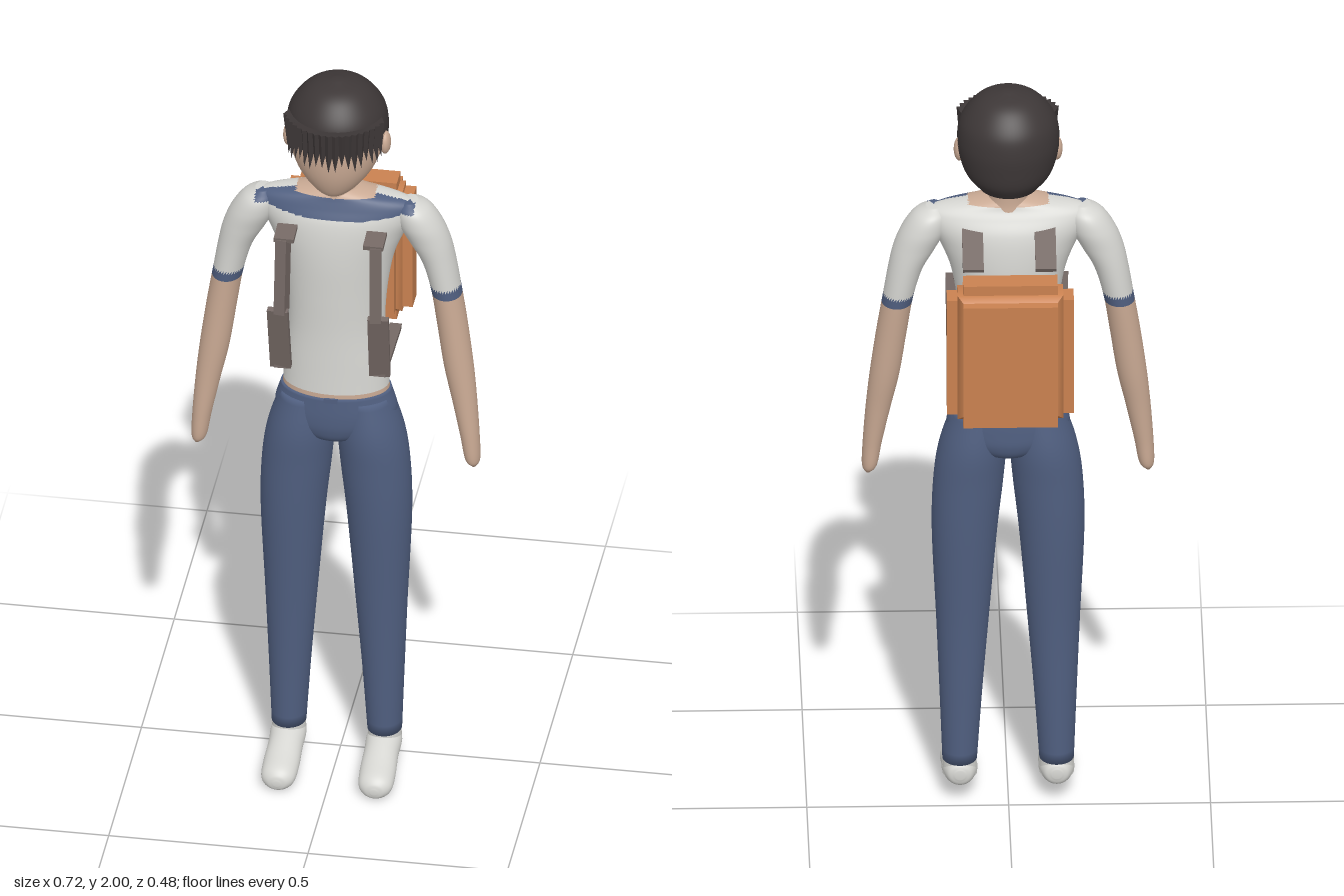
import * as THREE from 'three';

const mat = (name, color, side = THREE.FrontSide) =>
  Object.assign(new THREE.MeshStandardMaterial({ color, side }), { name });

// Smooth skin over horizontal ellipses [y, cx, cz, rx, rz], listed bottom to top.
// paint(x, y, z) picks a material index for each face, or -1 to leave it out.
function loft(sections, rings = 40, sides = 40, paint = () => 0) {
  const spline = f => new THREE.CatmullRomCurve3(sections.map(f), false, 'catmullrom', 0.5);
  const mid = spline(s => new THREE.Vector3(s[1], s[0], s[2]));
  const rad = spline(s => new THREE.Vector3(s[3], s[4], 0));
  const pos = [], faces = [];
  for (let i = 0; i <= rings; i++) {
    const c = mid.getPoint(i / rings), r = rad.getPoint(i / rings);
    for (let j = 0; j < sides; j++) {
      const a = (j / sides) * Math.PI * 2;
      pos.push(c.x + Math.max(r.x, 0.002) * Math.cos(a), c.y, c.z + Math.max(r.y, 0.002) * Math.sin(a));
    }
  }
  for (let j = 0; j < sides; j++) {
    const k = (j + 1) % sides;
    for (let i = 0; i < rings; i++) {
      const a = i * sides + j, b = i * sides + k;
      faces.push([a, a + sides, b], [b, a + sides, b + sides]);
    }
    const top = rings * sides, low = pos.length / 3;
    faces.push([low, j, k], [low + 1, top + k, top + j]);
  }
  for (const t of [0, 1]) pos.push(...mid.getPoint(t).toArray());

  const buckets = [[], [], []];
  for (const f of faces) {
    const m = [0, 1, 2].map(d => f.reduce((s, v) => s + pos[v * 3 + d], 0) / 3);
    const b = paint(...m);
    if (b >= 0) buckets[b].push(...f);
  }
  const g = new THREE.BufferGeometry();
  g.setAttribute('position', new THREE.Float32BufferAttribute(pos, 3));
  g.setIndex(buckets.flat());
  let start = 0;
  buckets.forEach((b, i) => { if (b.length) g.addGroup(start, b.length, i); start += b.length; });
  g.computeVertexNormals();
  return g;
}

export function createModel() {
  const model = new THREE.Group();
  model.name = 'student';
  const shirt = mat('shirt white', 0xd6d6d2);
  const blue = mat('denim blue', 0x505f80);
  const skin = mat('skin', 0xcaaa94);
  const hair = mat('dark hair', 0x3d3737, THREE.DoubleSide);
  const orange = mat('pack orange', 0xc98150);
  const strap = mat('strap brown', 0x756965);

  const add = (name, geometry, material, parent = model) => {
    const m = new THREE.Mesh(geometry, material);
    m.name = name;
    parent.add(m);
    return m;
  };

  // Shirt with a collar band at the front, bare neckline and bare waist line
  add('torso', loft([
    [1.11, 0, 0.065, 0.134, 0.083], [1.2, 0, 0.064, 0.128, 0.081], [1.3, 0, 0.06, 0.121, 0.083],
    [1.4, 0, 0.057, 0.126, 0.088], [1.5, 0, 0.055, 0.142, 0.092], [1.57, 0, 0.055, 0.168, 0.089],
    [1.62, 0, 0.056, 0.195, 0.08], [1.655, 0, 0.058, 0.205, 0.064], [1.675, 0, 0.06, 0.175, 0.054],
    [1.69, 0, 0.06, 0.1, 0.048], [1.7, 0, 0.06, 0.055, 0.04],
  ], 90, 64, (x, y, z) => {
    if (y < 1.13 || (y > 1.686 && Math.abs(x) < 0.1)) return 2;
    return z > 0.072 && Math.abs(x) < 0.2 && y > 1.632 + 0.5 * x * x ? 1 : 0;
  }), [shirt, blue, skin]);

  // Hips
  add('hips', loft([
    [0.97, 0, 0.065, 0.03, 0.04], [0.99, 0, 0.065, 0.09, 0.075], [1.02, 0, 0.065, 0.14, 0.088],
    [1.06, 0, 0.066, 0.153, 0.09], [1.118, 0, 0.066, 0.138, 0.087],
  ]), blue);
  add('fly button', new THREE.BoxGeometry(0.035, 0.012, 0.006), blue).position.set(0, 1.115, 0.152);

  for (const s of [1, -1]) {
    const side = s > 0 ? 'left' : 'right';
    const mirror = list => list.map(([y, x, ...rest]) => [y, x * s, ...rest]);

    // Arm with a trimmed short sleeve
    add(side + 'Arm', loft(mirror([
      [0.915, 0.347, 0.072, 0.007, 0.014], [0.935, 0.343, 0.072, 0.019, 0.027], [1.0, 0.336, 0.071, 0.024, 0.03],
      [1.1, 0.322, 0.066, 0.031, 0.034], [1.2, 0.306, 0.06, 0.037, 0.04], [1.32, 0.289, 0.055, 0.038, 0.044],
      [1.42, 0.273, 0.052, 0.038, 0.048], [1.5, 0.255, 0.052, 0.043, 0.051], [1.56, 0.232, 0.054, 0.053, 0.055],
      [1.61, 0.209, 0.056, 0.056, 0.058], [1.65, 0.193, 0.058, 0.044, 0.05], [1.672, 0.184, 0.06, 0.018, 0.024],
    ]), 100, 36, (x, y, z) => {
      if (y < 1.405) return 2;
      if (y < 1.43) return 1;
      return z > 0.072 && Math.abs(x) < 0.2 && y > 1.652 ? 1 : 0;
    }), [shirt, blue, skin]);

    // Trouser leg
    add(side + 'Leg', loft(mirror([
      [0.11, 0.12, 0.058, 0.043, 0.049], [0.3, 0.117, 0.06, 0.053, 0.055], [0.5, 0.113, 0.063, 0.065, 0.064],
      [0.75, 0.108, 0.065, 0.081, 0.081], [0.9, 0.098, 0.066, 0.087, 0.088], [1.0, 0.087, 0.066, 0.083, 0.091],
      [1.1, 0.074, 0.066, 0.064, 0.078],
    ])), blue);

    // Foot runs heel to toe, tipped downward
    add(side + 'Ankle', loft(mirror([[0.07, 0.12, 0.056, 0.043, 0.048], [0.13, 0.12, 0.058, 0.04, 0.046]]), 6), shirt);
    const foot = loft(mirror([
      [0.004, 0.12, -0.085, 0.012, 0.012], [0.015, 0.12, -0.083, 0.032, 0.03], [0.06, 0.12, -0.078, 0.044, 0.039],
      [0.11, 0.12, -0.064, 0.043, 0.038], [0.17, 0.121, -0.046, 0.045, 0.034], [0.215, 0.122, -0.034, 0.042, 0.031],
      [0.234, 0.122, -0.029, 0.027, 0.021], [0.24, 0.122, -0.028, 0.008, 0.007],
    ]));
    add(side + 'Foot', foot.rotateX(Math.PI / 2), shirt);

    const ear = add(side + 'Ear', new THREE.SphereGeometry(1, 20, 14), skin);
    ear.scale.set(0.014, 0.031, 0.023);
    ear.position.set(s * 0.121, 1.83, 0.055);

    // Pack straps: each bar runs from p to q
    const bar = (name, p, q, w, t) => {
      const a = new THREE.Vector3(p[0] * s, p[1], p[2]), b = new THREE.Vector3(q[0] * s, q[1], q[2]);
      const m = add(side + name, new THREE.BoxGeometry(w, t, a.distanceTo(b)), strap);
      m.position.copy(a).lerp(b, 0.5);
      m.lookAt(b);
    };
    bar('TopStrap', [0.09, 1.632, 0], [0.09, 1.575, -0.112], 0.052, 0.012);
    bar('StrapFlap', [0.112, 1.6, 0.19], [0.112, 1.607, 0.13], 0.05, 0.012);
    bar('ShoulderStrap', [0.116, 1.6, 0.172], [0.118, 1.39, 0.187], 0.028, 0.044);
    bar('LowerStrap', [0.126, 1.4, 0.197], [0.124, 1.21, 0.156], 0.052, 0.016);
    bar('WaistStrap', [0.125, 1.214, 0.165], [0.125, 1.204, -0.08], 0.03, 0.012);
  }

  // Neck and head
  add('neck', loft([[1.67, 0, 0.06, 0.062, 0.055], [1.7, 0, 0.058, 0.05, 0.05], [1.77, 0, 0.056, 0.05, 0.05]], 12), skin);
  add('face', loft([
    [1.7, 0, 0.1, 0.012, 0.014], [1.712, 0, 0.095, 0.038, 0.046], [1.74, 0, 0.08, 0.072, 0.078],
    [1.78, 0, 0.068, 0.1, 0.102], [1.83, 0, 0.058, 0.117, 0.117], [1.88, 0, 0.052, 0.12, 0.12],
    [1.93, 0, 0.047, 0.1, 0.1], [1.975, 0, 0.045, 0.04, 0.04],
  ]), skin);

  // Hair cap, open over the face
  add('hair', loft([
    [1.745, 0, 0.03, 0.075, 0.082], [1.78, 0, 0.04, 0.106, 0.113], [1.825, 0, 0.045, 0.122, 0.126],
    [1.872, 0, 0.046, 0.127, 0.129], [1.92, 0, 0.046, 0.119, 0.12], [1.96, 0, 0.046, 0.093, 0.094],
    [1.985, 0, 0.046, 0.06, 0.061], [1.999, 0, 0.046, 0.012, 0.012],
  ], 60, 64, (x, y, z) => (y > 1.872 || z < 0.025 ? 0 : -1)), hair);

  // Fringe of pointed locks, standing off the forehead
  const fringe = new THREE.Group();
  fringe.name = 'fringe';
  model.add(fringe);
  for (let i = 0; i < 19; i++) {
    const a = (i / 18 - 0.5) * 2.3, len = 0.088 + 0.022 * Math.abs(Math.sin(i * 2.3));
    const lock = new THREE.ConeGeometry(0.021, len, 4).rotateX(Math.PI);
    lock.translate(0, -len / 2, 0).rotateX(-0.12);
    const m = add('lock', lock.toNonIndexed(), hair, fringe);
    m.geometry.computeVertexNormals();
    m.rotation.y = a;
    m.position.set(Math.sin(a) * 0.118, 1.918, 0.045 + Math.cos(a) * 0.13);
  }

  // Backpack: deep body, bevelled core and flanges around its middle
  const pack = new THREE.Group();
  pack.name = 'backpack';
  pack.position.set(0, 1.38, -0.172);
  model.add(pack);
  add('packBody', new THREE.BoxGeometry(0.234, 0.32, 0.136), orange, pack);
  add('packSides', new THREE.BoxGeometry(0.314, 0.32, 0.057), orange, pack);
  add('packEnds', new THREE.BoxGeometry(0.234, 0.4, 0.057), orange, pack);
  const core = new THREE.BoxGeometry(0.262, 0.348, 0.057, 1, 1, 3), p = core.attributes.position;
  for (let i = 0; i < p.count; i++) {
    const outer = Math.abs(p.getZ(i)) > 0.02;
    p.setZ(i, Math.sign(p.getZ(i)) * (outer ? 0.043 : 0.0285));
    if (outer) p.setXY(i, Math.sign(p.getX(i)) * 0.117, Math.sign(p.getY(i)) * 0.16);
  }
  core.computeVertexNormals();
  add('packBevel', core, orange, pack);

  return model;
}
